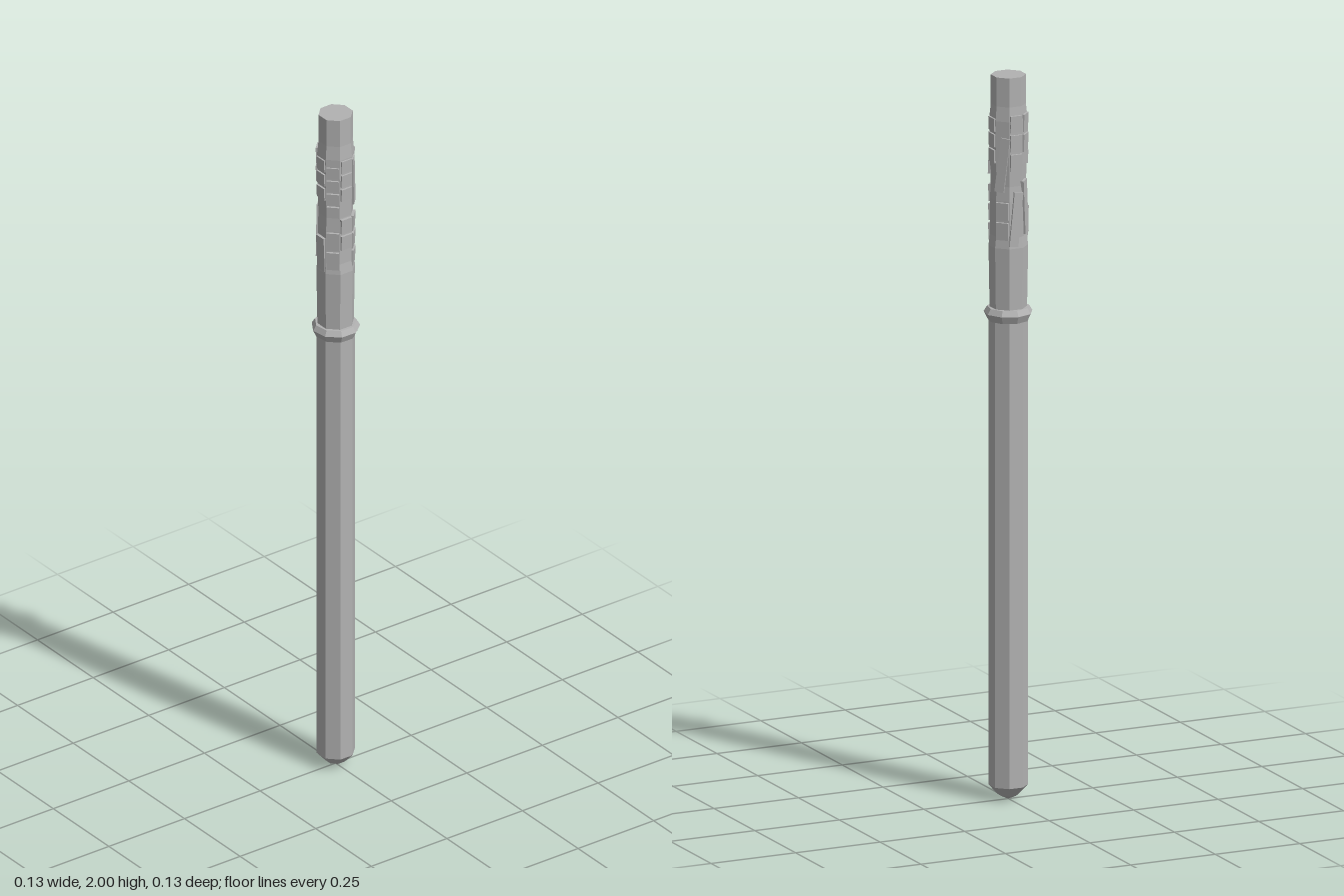
import * as THREE from 'three';

export function createModel() {
  const grey = new THREE.MeshStandardMaterial({ color: 0xb2b2b2 });
  grey.name = 'plain grey';
  grey.flatShading = true;

  const model = new THREE.Group();
  model.name = 'pen';

  const add = (name, geometry, parent = model) => {
    const mesh = new THREE.Mesh(geometry, grey);
    mesh.name = name;
    parent.add(mesh);
    return mesh;
  };
  // Faceted solid of revolution from [radius, height] pairs, bottom to top
  const turned = (profile, sides, start) =>
    new THREE.LatheGeometry(profile.map(([r, y]) => new THREE.Vector2(r, y)), sides, start);

  // Long plain shaft with a blunt pointed foot
  add('shaft', turned([[0, 0], [0.028, 0.013], [0.053, 0.04], [0.053, 1.33], [0, 1.33]], 8, Math.PI / 8));

  // Flared collar ring
  add('collar', turned([[0, 1.322], [0.056, 1.324], [0.066, 1.345], [0.057, 1.36], [0, 1.361]], 9, Math.PI + 0.15));

  // Grip core, slightly waisted, ending in a flat-topped neck
  add('gripCore', turned([
    [0, 1.35], [0.05, 1.355], [0.053, 1.53], [0.049, 1.56], [0.049, 1.66],
    [0.047, 1.70], [0.049, 1.76], [0.051, 1.88], [0.047, 1.92], [0.047, 2], [0, 2],
  ], 8, Math.PI / 8));

  // Carved tiles raised on the core: [facet, bottom, top, count]
  const tiles = new THREE.Group();
  tiles.name = 'carvedTiles';
  model.add(tiles);
  const columns = [
    [0, 1.75, 1.88, 3], [1, 1.54, 1.66, 2], [1, 1.70, 1.86, 4], [2, 1.75, 1.88, 3],
    [2, 1.60, 1.70, 2], [3, 1.54, 1.70, 3], [4, 1.76, 1.89, 3], [5, 1.55, 1.66, 2],
    [6, 1.74, 1.90, 3], [7, 1.79, 1.90, 2], [0, 1.53, 1.64, 1],
  ];
  for (const [facet, bottom, top, count] of columns) {
    const column = new THREE.Group();
    column.name = 'tileColumn';
    column.rotation.y = facet * Math.PI / 4;
    tiles.add(column);
    const step = (top - bottom) / count;
    for (let i = 0; i < count; i++) {
      const tile = add('tile', new THREE.BoxGeometry(0.034, step - 0.007, 0.012), column);
      tile.position.set(0, bottom + (i + 0.5) * step, 0.0445);
      tile.rotation.x = 0.04;
    }
  }

  // Long slanted ribs linking the tiles
  for (const [facet, y, lean] of [[3, 1.80, 0.12], [5, 1.76, -0.12], [7, 1.64, 0.1], [6, 1.61, -0.1]]) {
    const rib = new THREE.Group();
    rib.name = 'slantedRib';
    rib.rotation.y = facet * Math.PI / 4;
    tiles.add(rib);
    const bar = add('rib', new THREE.BoxGeometry(0.026, 0.15, 0.01), rib);
    bar.position.set(0, y, 0.0455);
    bar.rotation.z = lean;
  }
  return model;
}
